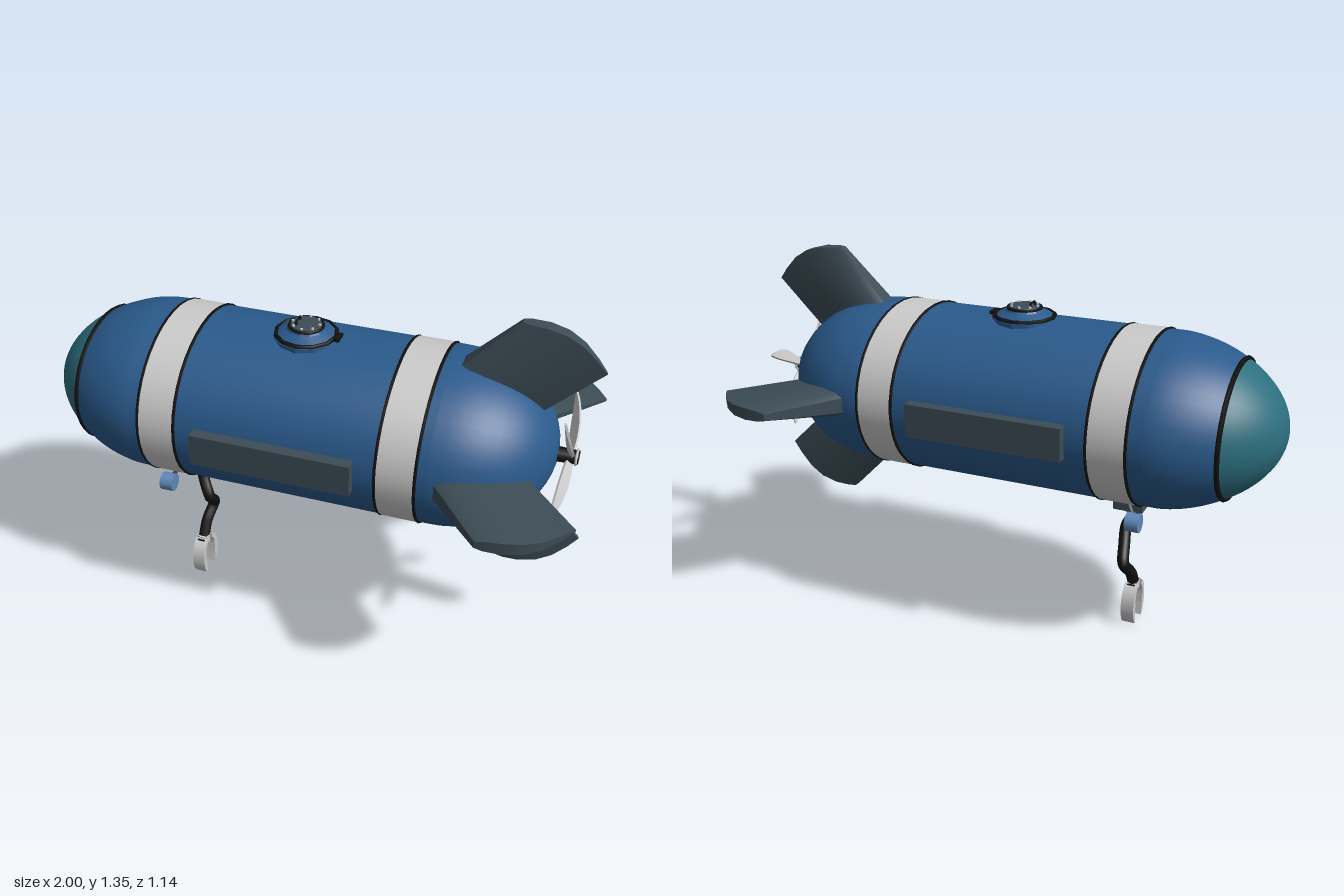
import * as THREE from 'three';
import { toCreasedNormals } from 'three/addons/utils/BufferGeometryUtils.js';

const mat = (color) => new THREE.MeshStandardMaterial({ color, side: THREE.DoubleSide });
const BLUE = mat(0x2a5a8c), TEAL = mat(0x2c6e7e), SLATE = mat(0x3c4c55);
const BLACK = mat(0x111111), GREY = mat(0xcccccc), LAMP = mat(0x5f88b8);
const R = 0.307, AXIS_Y = 0.862, WIDEN = 1.163;

function add(parent, name, geometry, material, x = 0, y = 0, z = 0) {
  const mesh = new THREE.Mesh(geometry, material);
  mesh.name = name;
  mesh.position.set(x, y, z);
  parent.add(mesh);
  return mesh;
}

// Hull radius at a station along x: pointed nose, straight middle, round tail
function hullRadius(x) {
  if (x < -0.6) return R * Math.sqrt(Math.max(0, 1 - Math.pow((-0.6 - x) / 0.4, 1.65)));
  if (x > 0.5) return R * Math.sqrt(Math.max(0, 1 - Math.pow((x - 0.5) / 0.385, 2)));
  return R;
}

// Surface of revolution around x; stations bunch up toward the rounded end
function hullPart(parent, name, x0, x1, material, ease = (t) => t, grow = 0) {
  const pts = [];
  for (let i = 0; i <= 14; i++) {
    const x = x0 + (x1 - x0) * ease(i / 14);
    pts.push(new THREE.Vector2(hullRadius(x) + grow, x));
  }
  add(parent, name, new THREE.LatheGeometry(pts, 40), material).rotation.z = -Math.PI / 2;
}

function hoop(parent, name, x, tube) {
  add(parent, name, new THREE.TorusGeometry(hullRadius(x), tube, 6, 40), BLACK, x).rotation.y = Math.PI / 2;
}

// Swept fin: thick foil at the root, thin at the curved tip
function finGeometry() {
  const us = [0, 0.08, 0.25, 0.45, 0.65, 0.85, 1];
  const foil = [0.55, 0.85, 1, 0.92, 0.72, 0.45, 0.22];
  const n = us.length, ring = 2 * n, rows = 6, pos = [], idx = [];
  for (let r = 0; r <= rows; r++) {
    const v = r / rows, half = 0.062 - 0.04 * v;
    for (let j = 0; j < ring; j++) {
      const k = j < n ? j : ring - 1 - j, u = us[k];
      const bow = v * Math.sin(Math.PI * u);
      pos.push(0.46 + 0.25 * v + u * (0.28 + 0.01 * v) + 0.02 * bow,
        0.235 + 0.255 * v - u * (0.135 + 0.01 * v) + 0.045 * bow,
        half * foil[k] * (j < n ? 1 : -1));
    }
  }
  for (let r = 0; r < rows; r++) for (let j = 0; j < ring; j++) {
    const a = r * ring + j, b = r * ring + (j + 1) % ring;
    idx.push(a, b, b + ring, a, b + ring, a + ring);
  }
  for (let k = 0; k < n - 1; k++) {
    const a = rows * ring + k, d = rows * ring + ring - 1 - k;
    idx.push(a, a + 1, d - 1, a, d - 1, d);
  }
  const g = new THREE.BufferGeometry();
  g.setAttribute('position', new THREE.Float32BufferAttribute(pos, 3));
  g.setIndex(idx);
  return toCreasedNormals(g, 0.7);
}

// Leaf-shaped blade along y, pitched more at the root than at the tip
function bladeGeometry() {
  const g = new THREE.BoxGeometry(1, 0.22, 1, 4, 10, 1);
  const p = g.attributes.position;
  for (let i = 0; i < p.count; i++) {
    const v = p.getY(i) / 0.22 + 0.5;
    const w = 0.014 + 0.04 * Math.pow(Math.sin(Math.PI * Math.min(1, 0.08 + v * 0.92)), 0.8) - 0.008 * v;
    const c = p.getZ(i) * w, t = p.getX(i) * 0.008, a = 0.75 - 0.35 * v;
    const sweep = 0.012 * Math.sin(Math.PI * v);
    p.setXYZ(i, c * Math.sin(a) + t * Math.cos(a) - 0.025 * v * v,
      0.015 + 0.22 * v, c * Math.cos(a) - t * Math.sin(a) + sweep);
  }
  g.computeVertexNormals();
  return g;
}

function buildBody(root) {
  const body = new THREE.Group();
  body.name = 'body';
  body.position.y = AXIS_Y;
  body.scale.z = WIDEN;
  root.add(body);

  hullPart(body, 'noseDome', -1, -0.83, TEAL, (t) => t * t);
  hullPart(body, 'frontHull', -0.83, -0.6, BLUE);
  hullPart(body, 'midHull', -0.6, 0.5, BLUE);
  hullPart(body, 'tailHull', 0.5, 0.885, BLUE, (t) => Math.sin(t * Math.PI / 2));
  hoop(body, 'noseSeal', -0.826, 0.009);

  // Pale bands with dark edges
  for (const x of [-0.475, 0.395]) {
    hullPart(body, 'band', x - 0.065, x + 0.065, GREY, (t) => t, 0.003);
    for (const s of [-1, 1]) hoop(body, 'bandEdge', x + s * 0.069, 0.006);
  }

  // Four tail fins
  const fin = finGeometry();
  for (let i = 0; i < 4; i++) add(body, 'tailFin', fin, SLATE).rotation.x = i * Math.PI / 2;

  // Propeller and hub
  const prop = new THREE.Group();
  prop.name = 'propeller';
  prop.position.x = 0.925;
  body.add(prop);
  add(prop, 'hub', new THREE.CylinderGeometry(0.023, 0.027, 0.1, 16), BLACK, -0.02).rotation.z = -Math.PI / 2;
  add(prop, 'hubRing', new THREE.TorusGeometry(0.025, 0.005, 6, 20), GREY, 0.022).rotation.y = Math.PI / 2;
  const blade = bladeGeometry();
  for (let i = 0; i < 4; i++) add(prop, 'blade', blade, GREY).rotation.x = 0.48 + i * Math.PI / 2;
}

function buildHatch(root) {
  const hatch = new THREE.Group();
  hatch.name = 'hatch';
  hatch.position.set(-0.035, 1.165, 0);
  root.add(hatch);
  const collar = [[0.118, -0.03], [0.118, 0.003], [0.07, 0.027], [0.066, 0.033], [0, 0.033]];
  add(hatch, 'collar', toCreasedNormals(new THREE.LatheGeometry(
    collar.map(([x, y]) => new THREE.Vector2(x, y)), 12), 0.4), BLUE);
  const gasket = add(hatch, 'gasket', new THREE.TorusGeometry(0.108, 0.009, 6, 12), BLACK, 0, 0.006);
  gasket.rotation.x = Math.PI / 2;
  add(hatch, 'lid', new THREE.CylinderGeometry(0.055, 0.062, 0.014, 20), SLATE, 0, 0.036);
  add(hatch, 'lidRim', new THREE.TorusGeometry(0.06, 0.006, 6, 24), BLACK, 0, 0.036).rotation.x = Math.PI / 2;
  for (let i = 0; i < 8; i++) {
    const a = i * Math.PI / 4;
    add(hatch, 'bolt', new THREE.CylinderGeometry(0.005, 0.005, 0.008, 6), GREY,
      0.05 * Math.cos(a), 0.045, 0.05 * Math.sin(a));
  }
  // Lid handle and hinge
  const grip = new THREE.CatmullRomCurve3([[-0.02, 0.04], [-0.02, 0.056], [0.02, 0.056], [0.02, 0.04]]
    .map(([z, y]) => new THREE.Vector3(-0.03, y, z)), false, 'catmullrom', 0.1);
  add(hatch, 'handle', new THREE.TubeGeometry(grip, 16, 0.004, 6), BLACK);
  add(hatch, 'hinge', new THREE.BoxGeometry(0.025, 0.016, 0.05), BLACK, 0.115, 0.006);
}

function buildArm(root) {
  const arm = new THREE.Group();
  arm.name = 'arm';
  arm.position.x = -0.47;
  root.add(arm);
  add(arm, 'mount', new THREE.BoxGeometry(0.11, 0.06, 0.14), SLATE, 0, 0.54);
  add(arm, 'mountCollar', new THREE.CylinderGeometry(0.045, 0.04, 0.025, 16), GREY, 0, 0.503);
  const path = [[0, 0.52, 0.005], [0.005, 0.46, 0.02], [0.04, 0.385, 0.05], [0.03, 0.335, 0.005],
    [0.015, 0.28, -0.043], [0.002, 0.225, 0.005], [0, 0.165, 0.044]].map((p) => new THREE.Vector3(...p));
  add(arm, 'hose', new THREE.TubeGeometry(new THREE.CatmullRomCurve3(path), 40, 0.022, 10), BLACK);

  // Two-pronged claw
  const claw = new THREE.Group();
  claw.name = 'claw';
  claw.position.z = 0.044;
  arm.add(claw);
  add(claw, 'wrist', new THREE.CylinderGeometry(0.024, 0.024, 0.03, 16), GREY, 0, 0.158);
  add(claw, 'pivot', new THREE.BoxGeometry(0.03, 0.016, 0.065), BLACK, 0, 0.157);
  const s = new THREE.Shape();
  s.moveTo(0.022, 0.168);
  s.quadraticCurveTo(0.072, 0.14, 0.067, 0.07);
  s.quadraticCurveTo(0.062, 0.02, 0.036, 0.004);
  s.quadraticCurveTo(0.042, 0.05, 0.042, 0.08);
  s.quadraticCurveTo(0.046, 0.13, 0.022, 0.145);
  const prong = new THREE.ExtrudeGeometry(s, { depth: 0.05, bevelEnabled: false, curveSegments: 8 });
  prong.translate(0, 0, -0.025);
  for (const side of [-1, 1]) add(claw, 'prong', toCreasedNormals(prong, 0.7), GREY).rotation.y = side * Math.PI / 2;
}

function buildSides(root) {
  for (const s of [-1, 1]) {
    add(root, 'sidePanel', new THREE.BoxGeometry(0.58, 0.12, 0.07), SLATE, -0.04, 0.862, s * 0.357);
    // Lamp on a short strut under the hull
    const lamp = new THREE.Group();
    lamp.name = 'lamp';
    lamp.position.set(-0.53, 0.53, s * 0.186);
    root.add(lamp);
    const can = add(lamp, 'lampBody', new THREE.CylinderGeometry(0.034, 0.034, 0.05, 20), LAMP);
    can.rotation.z = Math.PI / 2;
    const strut = new THREE.LineCurve3(new THREE.Vector3(0.01, 0.02, -s * 0.018), new THREE.Vector3(0.05, 0.08, -s * 0.055));
    add(lamp, 'lampStrut', new THREE.TubeGeometry(strut, 1, 0.008, 8), SLATE);
  }
}

export function createModel() {
  const root = new THREE.Group();
  root.name = 'submarine';
  buildBody(root);
  buildHatch(root);
  buildArm(root);
  buildSides(root);
  return root;
}
